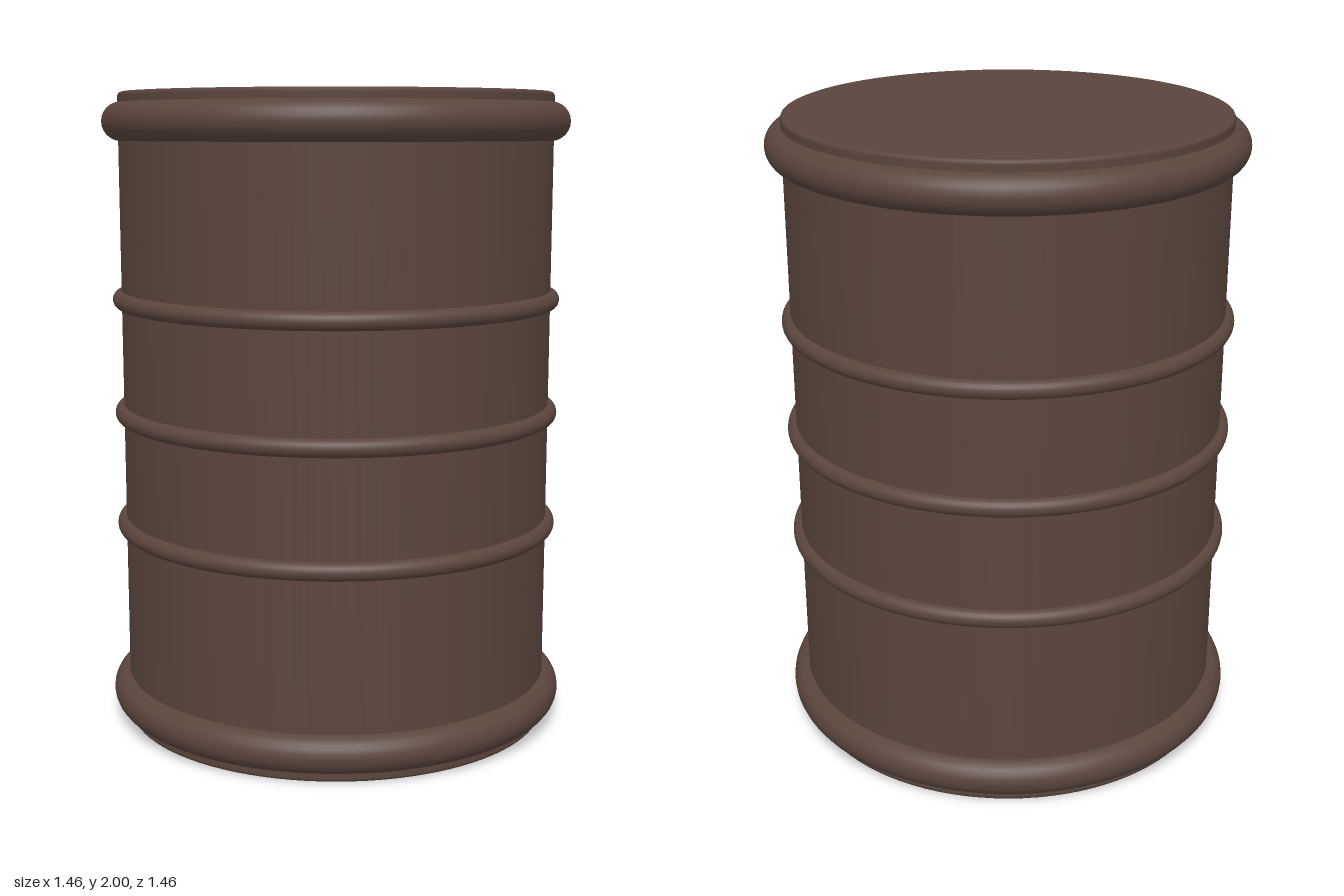
import * as THREE from 'three';

export function createModel() {
  const barrel = new THREE.Group();
  barrel.name = 'barrel';
  const brown = new THREE.MeshStandardMaterial({ color: 0x5a453c });
  brown.name = 'dark brown';

  const add = (name, geometry, y) => {
    const mesh = new THREE.Mesh(geometry, brown);
    mesh.name = name;
    mesh.position.y = y;
    barrel.add(mesh);
  };

  // Straight drum wall with slightly softened rims
  const R = 0.68, H = 2, b = 0.012;
  const wall = [[R - b, 0], [R - b * 0.3, b * 0.3], [R, b], [R, H - b], [R - b * 0.3, H - b * 0.3], [R - b, H]];
  add('wall', new THREE.LatheGeometry(wall.map(([x, y]) => new THREE.Vector2(x, y)), 96), 0);

  // Flat ends
  add('lid', new THREE.CircleGeometry(R - b, 96).rotateX(-Math.PI / 2), H);
  add('base', new THREE.CircleGeometry(R - b, 96).rotateX(Math.PI / 2), 0);

  // Thick end hoops and thin middle hoops
  const hoop = (name, radius, tube, y) =>
    add(name, new THREE.TorusGeometry(radius, tube, 24, 96).rotateX(Math.PI / 2), y);
  hoop('bottomHoop', 0.671, 0.06, 0.09);
  hoop('topHoop', 0.671, 0.06, 1.91);
  [0.64, 1, 1.36].forEach((y, i) => hoop(`middleHoop${i + 1}`, 0.68, 0.028, y));

  return barrel;
}
